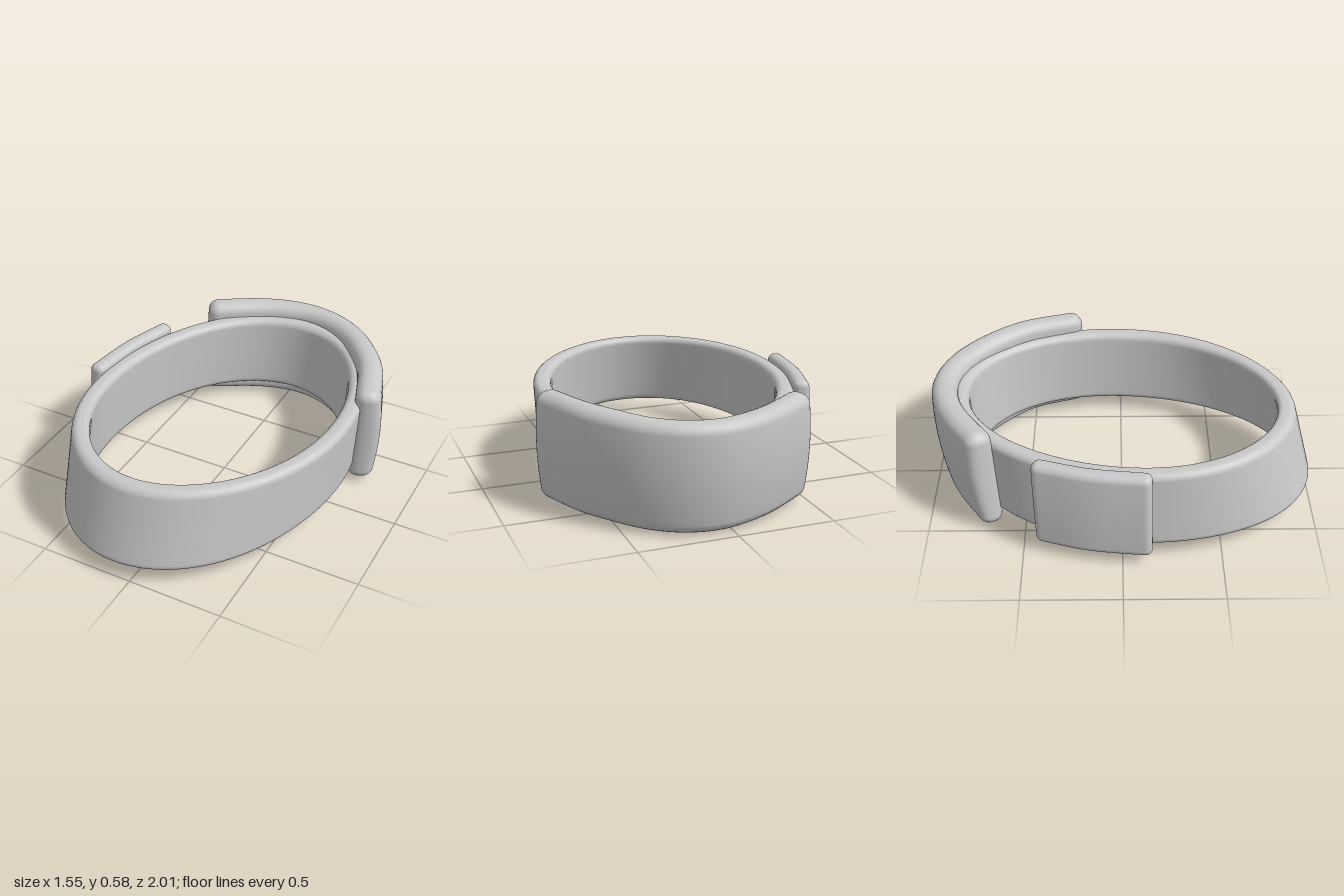
import * as THREE from 'three';

const { smoothstep, degToRad } = THREE.MathUtils;

// Rounded-rectangle section as [n, y] pairs, counter-clockwise
function section(hw, hh, r) {
  const pts = [], steps = 6, rows = 8;
  const corners = [[1, -1], [1, 1], [-1, 1], [-1, -1]];
  corners.forEach(([sx, sy], c) => {
    for (let i = 0; i <= steps; i++) {
      const a = degToRad(-90 + 90 * (c + i / steps));
      pts.push([sx * (hw - r) + r * Math.cos(a), sy * (hh - r) + r * Math.sin(a)]);
    }
    // extra rows on the tall inner and outer faces
    if (c % 2 === 0) {
      for (let k = 1; k < rows; k++) pts.push([sx * hw, sx * (hh - r) * ((2 * k) / rows - 1)]);
    }
  });
  return pts;
}

// Lean of the walls: strong at the front, slight at the back, upright at the sides
function lean(x, y, z, xLean) {
  const h = y - 0.3;
  const k = 0.27 * smoothstep(z, 0, 0.9) + 0.1 * smoothstep(-z, 0.2, 0.9);
  return [x + xLean * h, y, z - k * h];
}

// Sweeps an upright strap along a curve; open straps get rounded ends
function strap(points, { hw, hh, r, xLean, closed = false, segs = 96, bulge = 0 }) {
  const curve = new THREE.CatmullRomCurve3(points.map(p => new THREE.Vector3(...p)), closed, 'centripetal');
  const stations = [];
  const add = (u, inset, push) => {
    const t = curve.getTangentAt(u).setY(0).normalize();
    stations.push({ p: curve.getPointAt(u).addScaledVector(t, push), t, inset });
  };
  const capSteps = 6;
  const cap = (u, i, dir) => {
    const a = (i / capSteps) * Math.PI / 2;
    add(u, r * 0.97 * (1 - Math.cos(a)), dir * r * Math.sin(a));
  };
  if (!closed) for (let i = capSteps; i > 0; i--) cap(0, i, -1);
  for (let i = 0; i < (closed ? segs : segs + 1); i++) add(i / segs, 0, 0);
  if (!closed) for (let i = 1; i <= capSteps; i++) cap(1, i, 1);

  const pos = [], idx = [];
  let m = 0;
  for (const { p, t, inset } of stations) {
    const ring = section(hw - inset, hh - inset, Math.max(r - inset, 0.001));
    m = ring.length;
    for (const [n, y] of ring) {
      // only the outer face swells
      const out = n + bulge * smoothstep(n, -hw, hw) * (1 - (y / hh) ** 2);
      pos.push(...lean(p.x + t.z * out, p.y + y, p.z - t.x * out, xLean));
    }
  }
  const count = stations.length;
  for (let i = 0; i < (closed ? count : count - 1); i++) {
    for (let j = 0; j < m; j++) {
      const a = i * m + j, b = i * m + (j + 1) % m;
      const next = ((i + 1) % count) * m, c = next + j, d = next + (j + 1) % m;
      idx.push(a, b, c, b, d, c);
    }
  }
  if (!closed) {
    for (const [s, end] of [[0, false], [count - 1, true]]) {
      const { p, t } = stations[s], centre = pos.length / 3, out = bulge / 2;
      pos.push(...lean(p.x + t.z * out, p.y, p.z - t.x * out, xLean));
      for (let j = 0; j < m; j++) {
        const a = s * m + j, b = s * m + (j + 1) % m;
        if (end) idx.push(centre, a, b); else idx.push(centre, b, a);
      }
    }
  }
  const g = new THREE.BufferGeometry();
  g.setAttribute('position', new THREE.Float32BufferAttribute(pos, 3));
  g.setIndex(idx);
  g.computeVertexNormals();
  return g;
}

export function createModel() {
  const model = new THREE.Group();
  model.name = 'bracelet';
  const grey = new THREE.MeshStandardMaterial({ color: 0xc8c8c8 });
  grey.name = 'plain grey';
  const part = (name, geometry) => {
    const mesh = new THREE.Mesh(geometry, grey);
    mesh.name = name;
    model.add(mesh);
  };

  // Closed band on a slightly skewed ellipse
  const loop = [];
  for (let i = 0; i < 32; i++) {
    const a = -(i / 32) * Math.PI * 2, s = Math.sin(a);
    loop.push([-0.008 + 0.638 * Math.cos(a) - 0.07 * s, 0.293 + 0.006 * smoothstep(s, 0, 1), 0.035 + 0.875 * s]);
  }
  part('band', strap(loop, { hw: 0.047, hh: 0.211, r: 0.036, xLean: 0.055, closed: true, segs: 128 }));

  // Wide outer cuff around the back
  part('outerCuff', strap([
    [-0.42, 0.297, -0.7], [-0.222, 0.291, -0.825], [-0.08, 0.287, -0.885], [0.07, 0.283, -0.911],
    [0.22, 0.283, -0.885], [0.37, 0.288, -0.8], [0.508, 0.299, -0.655], [0.6, 0.303, -0.52],
    [0.69, 0.3, -0.28],
  ], { hw: 0.063, hh: 0.281, r: 0.055, xLean: 0.02, segs: 64, bulge: 0.024 }));

  // Small side plate
  part('sidePlate', strap([
    [-0.72, 0.296, 0.11], [-0.682, 0.296, -0.17], [-0.613, 0.296, -0.4],
  ], { hw: 0.043, hh: 0.239, r: 0.036, xLean: 0.035, segs: 24, bulge: 0.008 }));

  return model;
}
